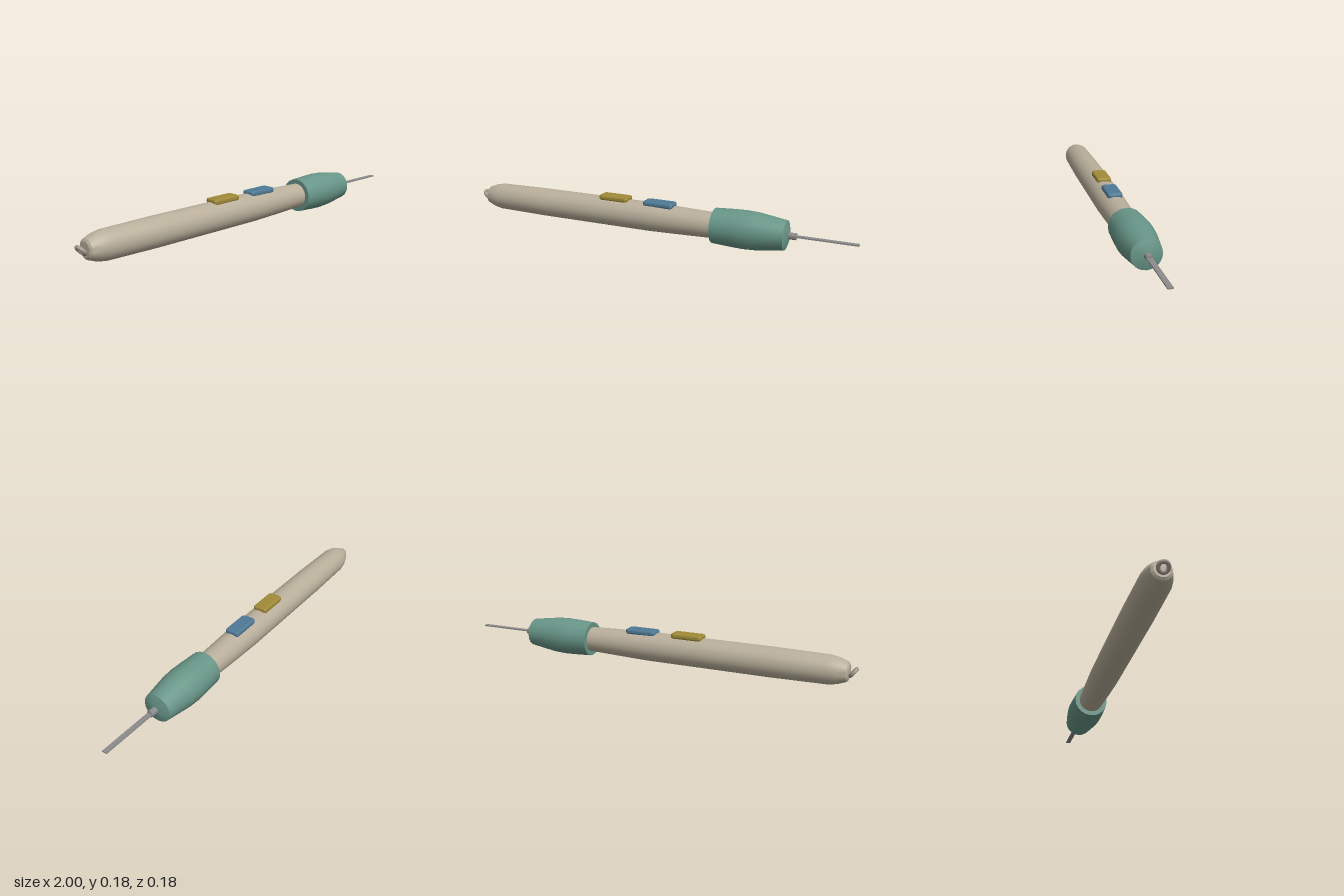
import * as THREE from 'three';
import { toCreasedNormals } from 'three/addons/utils/BufferGeometryUtils.js';

const AXIS_Y = 0.092;

const paint = (color) => new THREE.MeshStandardMaterial({ color });

// Turned part along x: profile of [x, radius], running from the tail to the tip
function turned(name, profile, segments, material) {
  const points = profile.map(([x, r]) => new THREE.Vector2(r, x));
  const geometry = toCreasedNormals(new THREE.LatheGeometry(points, segments), 0.45);
  geometry.rotateZ(-Math.PI / 2);
  const mesh = new THREE.Mesh(geometry, material);
  mesh.name = name;
  mesh.position.y = AXIS_Y;
  return mesh;
}

// Push button: rounded plate with bevelled edges, lying on the barrel
function button(name, x, top, material) {
  const w = 0.07, d = 0.028, r = 0.008, bevel = 0.008, height = 0.026;
  const shape = new THREE.Shape();
  shape.moveTo(-w + r, -d);
  shape.lineTo(w - r, -d).quadraticCurveTo(w, -d, w, -d + r);
  shape.lineTo(w, d - r).quadraticCurveTo(w, d, w - r, d);
  shape.lineTo(-w + r, d).quadraticCurveTo(-w, d, -w, d - r);
  shape.lineTo(-w, -d + r).quadraticCurveTo(-w, -d, -w + r, -d);
  const geometry = new THREE.ExtrudeGeometry(shape, {
    depth: height - 2 * bevel, bevelEnabled: true, bevelThickness: bevel,
    bevelSize: bevel, bevelSegments: 2, curveSegments: 3,
  });
  geometry.rotateX(-Math.PI / 2);
  const mesh = new THREE.Mesh(geometry, material);
  mesh.name = name;
  mesh.position.set(x, top - height + bevel, 0);
  return mesh;
}

export function createModel() {
  const group = new THREE.Group();
  group.name = 'penTool';
  const metal = paint(0x8c8c8c);

  // Slim barrel, rounded at the tail and waisted towards the grip
  group.add(turned('barrel', [
    [-0.957, 0], [-0.957, 0.034], [-0.95, 0.045], [-0.91, 0.06], [-0.87, 0.067],
    [-0.6, 0.071], [0, 0.071], [0.15, 0.067], [0.33, 0.061], [0.4, 0.06],
  ], 32, paint(0xb8ae9a)));

  // Swollen grip sleeve with a shallow cone at the nose
  group.add(turned('grip', [
    [0.33, 0.05], [0.33, 0.084], [0.42, 0.089], [0.48, 0.091], [0.54, 0.088],
    [0.674, 0.069], [0.687, 0.03], [0.687, 0],
  ], 20, paint(0x689688)));

  // Collet and flat blade
  group.add(turned('collet', [[0.67, 0.016], [0.722, 0.016], [0.722, 0]], 16, metal));
  const blade = new THREE.Mesh(new THREE.BoxGeometry(0.29, 0.006, 0.024), metal);
  blade.name = 'blade';
  blade.position.set(0.855, AXIS_Y + 0.001, 0);
  group.add(blade);

  // Tilted cord ring at the tail
  const ring = new THREE.Mesh(new THREE.TorusGeometry(0.021, 0.009, 10, 20), paint(0xa39c90));
  ring.name = 'tailRing';
  ring.rotation.set(0, Math.PI / 2, 0);
  const ringMount = new THREE.Group();
  ringMount.name = 'tailRingMount';
  ringMount.add(ring);
  ringMount.position.set(-0.974, AXIS_Y, 0);
  ringMount.rotation.z = 0.7;
  group.add(ringMount);

  // Two control buttons on top
  group.add(button('rearButton', -0.194, 0.178, paint(0xa08a38)));
  group.add(button('frontButton', 0.046, 0.175, paint(0x4f7a96)));

  return group;
}
